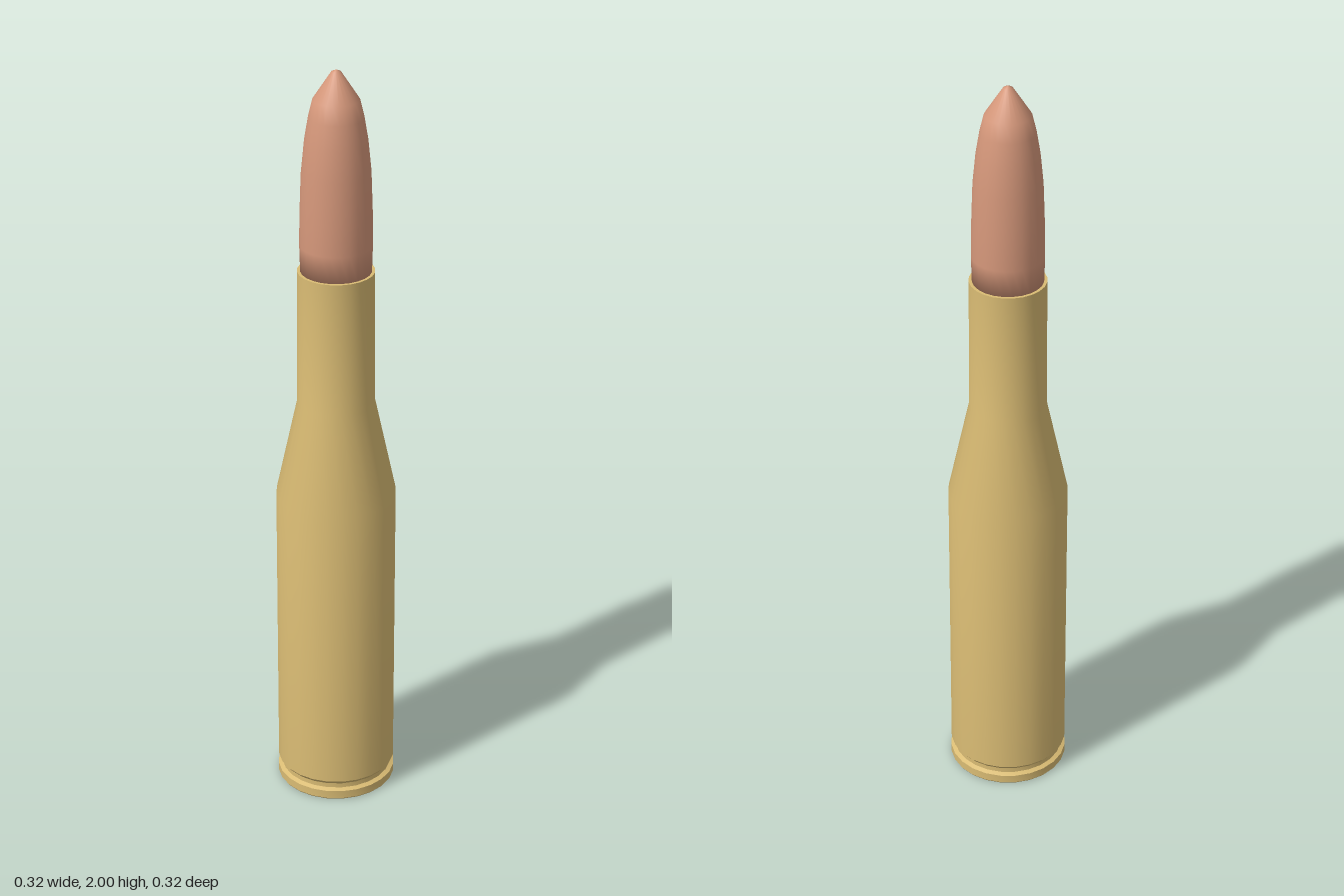
import * as THREE from 'three';
import { toCreasedNormals } from 'three/addons/utils/BufferGeometryUtils.js';

const SIDES = 24;

// Turned solid from a bottom-to-top profile of [radius, height] pairs
function turned(profile) {
  return new THREE.LatheGeometry(profile.map(([r, y]) => new THREE.Vector2(r, y)), SIDES);
}

export function createModel() {
  const group = new THREE.Group();
  group.name = 'cartridge';

  const brass = new THREE.MeshStandardMaterial({ name: 'brass', color: 0xdabc74 });
  const copper = new THREE.MeshStandardMaterial({ name: 'copper', color: 0xd6987b });

  function add(name, geometry, material) {
    const mesh = new THREE.Mesh(geometry, material);
    mesh.name = name;
    group.add(mesh);
  }

  // Base rim with the extractor groove above it
  const rim = turned([
    [0, 0], [0.155, 0], [0.158, 0.004], [0.158, 0.026],
    [0.147, 0.031], [0.147, 0.044], [0.157, 0.056],
  ]);
  add('rim', toCreasedNormals(rim, 0.55), brass);

  // Body, sloped shoulder, neck and the mouth lip around the bullet
  const body = turned([
    [0.157, 0.056], [0.156, 0.86], [0.1, 1.12], [0.098, 1.48], [0.088, 1.48],
  ]);
  add('case', toCreasedNormals(body, 0.55), brass);

  // Smooth pointed bullet with a rounded-looking foot
  const bullet = turned([
    [0, 1.475], [0.09, 1.476], [0.092, 1.55], [0.091, 1.63], [0.087, 1.74],
    [0.079, 1.82], [0.069, 1.88], [0.058, 1.925], [0.012, 1.995], [0, 2],
  ]);
  add('bullet', bullet, copper);

  return group;
}
